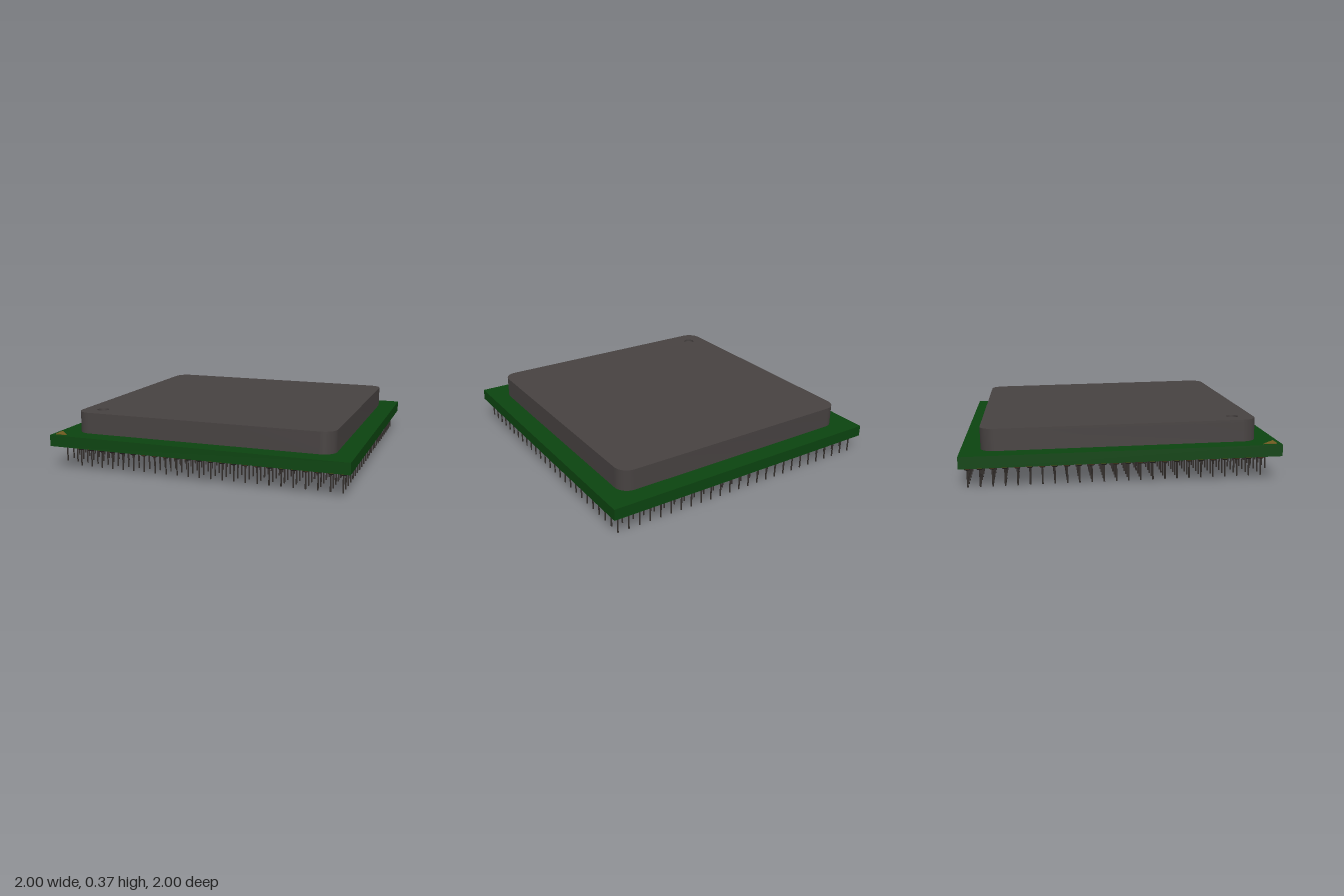
import * as THREE from 'three';
import { mergeGeometries, toCreasedNormals } from 'three/addons/utils/BufferGeometryUtils.js';

const mat = (name, color) => {
  const m = new THREE.MeshStandardMaterial({ color });
  m.name = name;
  return m;
};

const BOARD_TOP = 0.22, BOARD_BOTTOM = 0.145, LID_TOP = 0.36, PIN_TIP = 0.018;

// Rounded square outline, half size h and corner radius r
function roundedSquare(h, r) {
  const s = new THREE.Shape();
  s.moveTo(h - r, -h);
  s.absarc(h - r, -h + r, r, -Math.PI / 2, 0);
  s.absarc(h - r, h - r, r, 0, Math.PI / 2);
  s.absarc(-h + r, h - r, r, Math.PI / 2, Math.PI);
  s.absarc(-h + r, -h + r, r, Math.PI, Math.PI * 1.5);
  s.closePath();
  return s;
}

// Extrude a shape upwards from y0 to y1; shape y becomes -z
function slab(shape, y0, y1) {
  const g = new THREE.ExtrudeGeometry(shape, { depth: y1 - y0, bevelEnabled: false, curveSegments: 10 });
  g.rotateX(-Math.PI / 2).translate(0, y0, 0);
  return toCreasedNormals(g, 0.6);
}

// Copies of one geometry at a list of [x, z] spots, merged
const scatter = (geo, spots) => mergeGeometries(spots.map(([x, z]) => geo.clone().translate(x, 0, z)));

export function createModel() {
  const lidMat = mat('lidGrey', 0x474241);
  const boardMat = mat('boardGreen', 0x0c4410);
  const goldMat = mat('gold', 0x705c20);
  const pinMat = mat('pinMetal', 0x37322f);
  const capMat = mat('capacitorGrey', 0x343336);

  const chip = new THREE.Group();
  chip.name = 'processor';
  const add = (name, geo, material) => {
    const m = new THREE.Mesh(geo, material);
    m.name = name;
    chip.add(m);
  };

  // Circuit board
  const thick = BOARD_TOP - BOARD_BOTTOM;
  add('board', new THREE.BoxGeometry(2, thick, 2).translate(0, BOARD_BOTTOM + thick / 2, 0), boardMat);

  // Heat spreader lid, its top layer pierced by a small round recess
  const recessDepth = 0.014;
  add('lidBase', slab(roundedSquare(0.875, 0.09), BOARD_TOP, LID_TOP - recessDepth), lidMat);
  const top = roundedSquare(0.875, 0.09);
  const hole = new THREE.Path();
  hole.absarc(-0.745, -0.74, 0.039, 0, Math.PI * 2, true);
  top.holes.push(hole);
  add('lidTop', slab(top, LID_TOP - recessDepth, LID_TOP), lidMat);

  // Corner marker triangle
  const tri = new THREE.Shape([[-0.975, -0.97], [-0.89, -0.97], [-0.975, -0.885]].map(p => new THREE.Vector2(...p)));
  add('cornerMarker', slab(tri, BOARD_TOP, BOARD_TOP + 0.005), goldMat);

  // Pin field: 26 x 26 with a 14 x 14 opening and two pins left out at the marked corner
  const spots = [];
  for (let i = 0; i < 26; i++) {
    for (let j = 0; j < 26; j++) {
      const open = i > 5 && i < 20 && j > 5 && j < 20;
      const missing = j === 25 && i < 2;
      if (!open && !missing) spots.push([-0.95 + i * 0.076, -0.95 + j * 0.076]);
    }
  }
  const pad = new THREE.CylinderGeometry(0.035, 0.031, 0.008, 8).translate(0, BOARD_BOTTOM - 0.004, 0);
  add('pinPads', scatter(pad, spots), goldMat);

  // Each pin is a solder dome running into a thin shaft
  const y = BOARD_BOTTOM - 0.008;
  const profile = [[0, PIN_TIP], [0.005, PIN_TIP], [0.005, y - 0.014], [0.016, y - 0.011], [0.026, y]]
    .map(p => new THREE.Vector2(...p));
  add('pins', scatter(new THREE.LatheGeometry(profile, 8), spots), pinMat);

  // Capacitors on the underside
  const caps = [
    [0.385, 0.23], [0.31, -0.056], [0.17, 0.085], [0.03, 0.23], [0.31, -0.385],
    [0.03, -0.056], [-0.12, 0.23], [0.03, -0.2], [-0.12, -0.056], [-0.29, -0.2],
  ];
  const cap = new THREE.BoxGeometry(0.097, 0.062, 0.125).translate(0, BOARD_BOTTOM - 0.031, 0);
  add('capacitors', scatter(cap, caps), capMat);

  // Small contact pads in clusters between the capacitors
  const contacts = [];
  for (const [cx, cz] of [[-0.33, 0.12], [-0.1, -0.23], [0.33, -0.19], [0.17, 0.23]]) {
    for (let i = -1; i <= 1; i++) {
      for (let j = -1; j <= 1; j++) contacts.push([cx + i * 0.035, cz + j * 0.035]);
    }
  }
  const contact = new THREE.BoxGeometry(0.022, 0.004, 0.022).translate(0, BOARD_BOTTOM - 0.002, 0);
  add('contactPads', scatter(contact, contacts), goldMat);

  // The whole chip leans slightly, front edge raised
  chip.rotation.x = -0.0175;
  chip.position.z = 0.003;

  const model = new THREE.Group();
  model.name = 'model';
  model.add(chip);
  return model;
}
